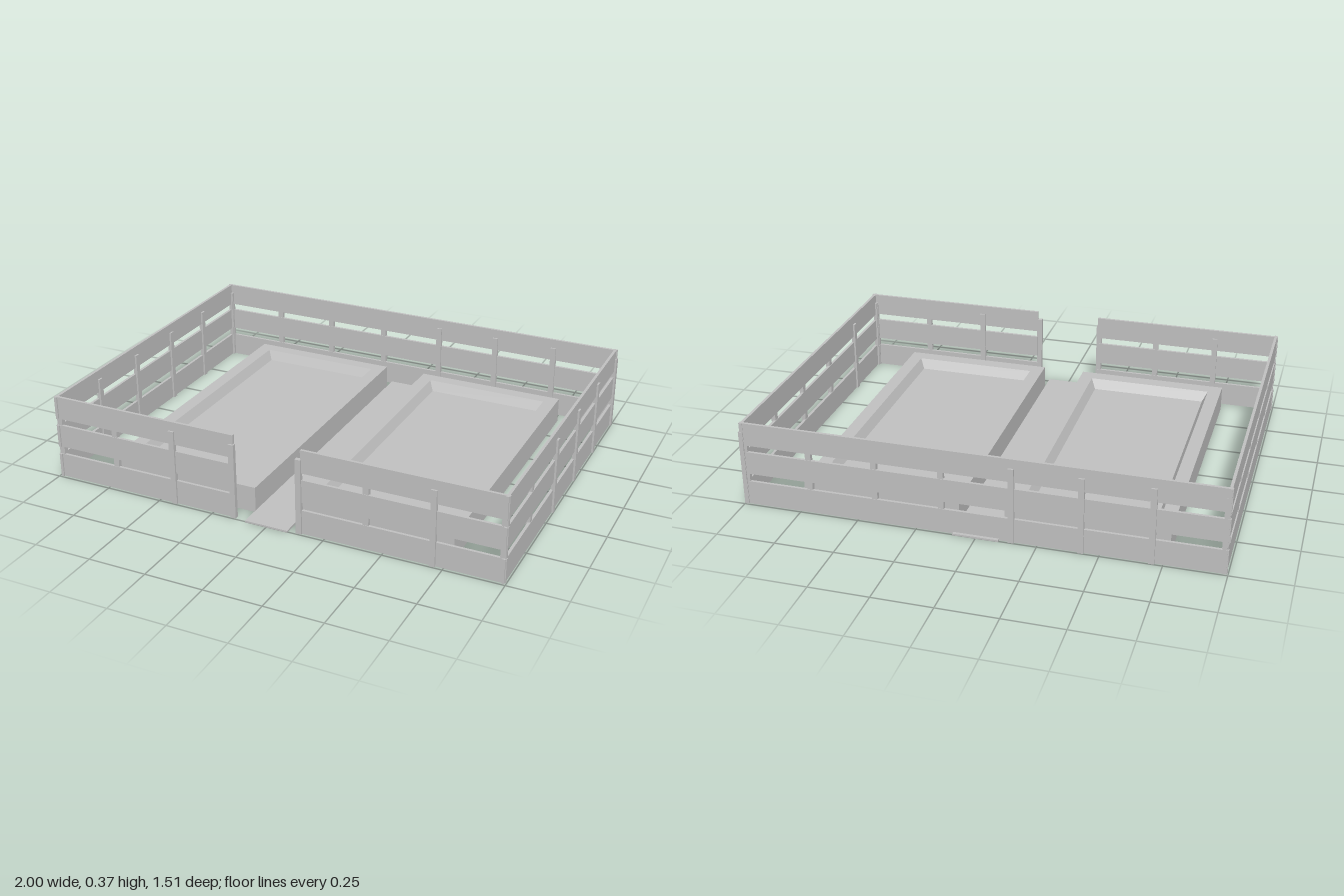
import * as THREE from 'three';

const grey = new THREE.MeshStandardMaterial({ color: 0xc0c0c0 });
grey.name = 'grey';

function box(parent, name, w, h, d, x, y, z) {
  const mesh = new THREE.Mesh(new THREE.BoxGeometry(w, h, d), grey);
  mesh.name = name;
  mesh.position.set(x, y, z);
  parent.add(mesh);
}

// Stacked rectangular loops joined by side walls, capped at both ends
function loopSolid(loops) {
  const pos = [];
  const corners = ([x0, x1, z0, z1, y]) => [[x0, y, z1], [x1, y, z1], [x1, y, z0], [x0, y, z0]];
  const quad = (a, b, c, d) => pos.push(...a, ...b, ...c, ...a, ...c, ...d);
  const rings = loops.map(corners);
  for (let i = 0; i < rings.length - 1; i++) {
    for (let j = 0; j < 4; j++) {
      const k = (j + 1) % 4;
      quad(rings[i][j], rings[i][k], rings[i + 1][k], rings[i + 1][j]);
    }
  }
  quad(...rings[rings.length - 1]);
  quad(...rings[0].slice().reverse());
  const geo = new THREE.BufferGeometry();
  geo.setAttribute('position', new THREE.Float32BufferAttribute(pos, 3));
  geo.computeVertexNormals();
  return geo;
}

// Straight fence along local x, outside facing local +z.
// Each post is [position, side]; side 1 is outside the rails, -1 inside.
function fence(name, from, to, posts) {
  const group = new THREE.Group();
  group.name = name;
  const length = to - from;
  for (const [y0, y1] of [[0, 0.105], [0.14, 0.24], [0.27, 0.37]]) {
    box(group, 'rail', length, y1 - y0, 0.012, (from + to) / 2, (y0 + y1) / 2, 0);
  }
  for (const [x, side] of posts) {
    box(group, 'post', 0.024, 0.33, 0.018, x, 0.165, side * 0.005);
  }
  return group;
}

export function createModel() {
  const model = new THREE.Group();
  model.name = 'gardenEnclosure';

  // Front fence in two halves around the entrance
  const frontRight = fence('frontFenceRight', -0.997, -0.148,
    [[-0.982, -1], [-0.71, -1], [-0.43, 1], [-0.155, 1]]);
  const frontLeft = fence('frontFenceLeft', 0.148, 0.997,
    [[0.14, 1], [0.425, -1], [0.705, 1], [0.982, -1]]);
  for (const f of [frontRight, frontLeft]) {
    f.position.z = 0.731;
    model.add(f);
  }

  // Back fence, turned to face -z
  const back = fence('backFence', -0.997, 0.997,
    [[-0.982, -1], [-0.705, -1], [-0.425, -1], [-0.145, -1], [0.145, 1], [0.425, 1], [0.705, 1], [0.982, -1]]);
  back.rotation.y = Math.PI;
  back.position.z = -0.735;
  model.add(back);

  // Side fences
  const left = fence('leftFence', -0.743, 0.743,
    [[-0.722, -1], [-0.435, -1], [-0.147, 1], [0.147, 1], [0.435, 1], [0.733, 1]]);
  left.rotation.y = Math.PI / 2;
  left.position.x = 0.987;
  const right = fence('rightFence', -0.743, 0.743,
    [-0.73, -0.435, -0.147, 0.147, 0.435, 0.722].map((p) => [p, -1]));
  right.rotation.y = -Math.PI / 2;
  right.position.x = -0.987;
  model.add(left, right);

  // Raised beds with a bevelled, sunken middle
  for (const [name, side] of [['leftBed', 1], ['rightBed', -1]]) {
    const bed = new THREE.Mesh(loopSolid([
      [-0.335, 0.335, -0.665, 0.665, 0],
      [-0.335, 0.335, -0.665, 0.665, 0.112],
      [-0.277, 0.277, -0.608, 0.603, 0.112],
      [-0.255, 0.255, -0.585, 0.578, 0.07],
    ]), grey);
    bed.name = name;
    bed.position.x = side * 0.43;
    model.add(bed);
  }

  // Path between the beds
  box(model, 'path', 0.19, 0.008, 1.51, 0, 0.004, 0);

  return model;
}
